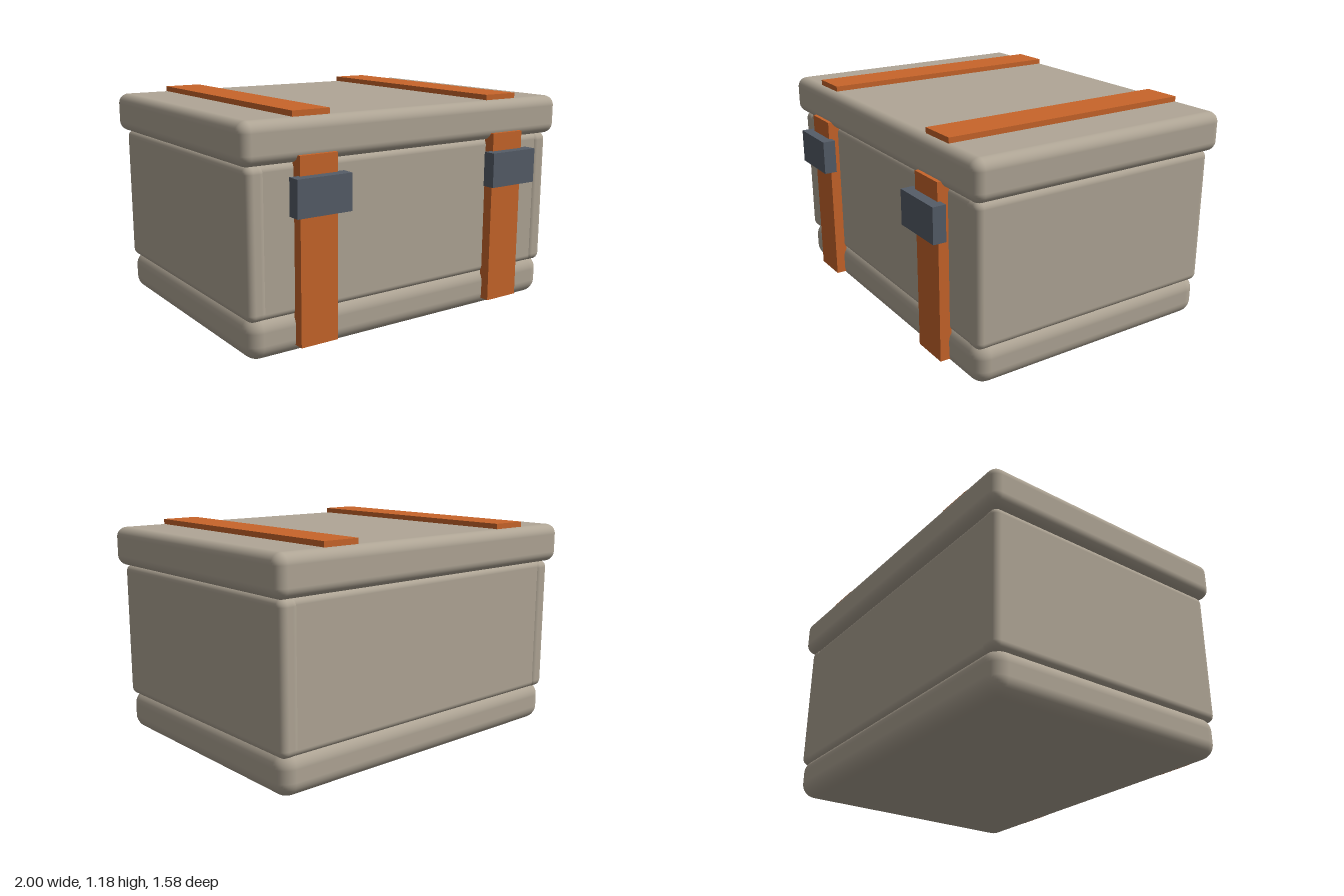
import * as THREE from 'three';
import { RoundedBoxGeometry } from 'three/addons/geometries/RoundedBoxGeometry.js';

const mat = (name, color) => {
  const m = new THREE.MeshStandardMaterial({ color });
  m.name = name;
  return m;
};

export function createModel() {
  const group = new THREE.Group();
  group.name = 'strappedChest';
  const shell = mat('warm grey shell', 0xb0a696);
  const strap = mat('orange strap', 0xc8652a);
  const metal = mat('slate buckle', 0x555d68);

  // Box from its min and max extents; a radius rounds its edges
  const box = (name, material, [x0, x1], [y0, y1], [z0, z1], radius = 0) => {
    const size = [x1 - x0, y1 - y0, z1 - z0];
    const geometry = radius
      ? new RoundedBoxGeometry(...size, 5, radius)
      : new THREE.BoxGeometry(...size);
    const mesh = new THREE.Mesh(geometry, material);
    mesh.name = name;
    mesh.position.set((x0 + x1) / 2, (y0 + y1) / 2, (z0 + z1) / 2);
    group.add(mesh);
  };

  // Base tray and lid
  box('base', shell, [-0.962, 0.962], [0, 0.225], [-0.755, 0.685], 0.08);
  box('lid', shell, [-1, 1], [0.942, 1.152], [-0.79, 0.717], 0.055);

  // Front and back panels, set between the side walls
  const wallY = [0.2, 0.946];
  box('frontPanel', shell, [-0.91, 0.91], wallY, [0.575, 0.679], 0.035);
  box('backPanel', shell, [-0.91, 0.91], wallY, [-0.749, -0.645], 0.035);

  for (const [side, s] of [['left', 1], ['right', -1]]) {
    const span = (a, b) => (s > 0 ? [a, b] : [-b, -a]);
    box(side + 'Wall', shell, span(0.852, 0.962), wallY, [-0.755, 0.685], 0.04);

    // Straps over the lid and down the front, with a buckle
    box(side + 'TopStrap', strap, span(0.5, 0.708), [1.14, 1.18], [-0.745, 0.67]);
    box(side + 'FrontStrap', strap, span(0.5, 0.708), [0.05, 0.98], [0.67, 0.735]);
    box(side + 'Buckle', metal, span(0.455, 0.757), [0.7, 0.885], [0.72, 0.79]);
  }
  return group;
}
